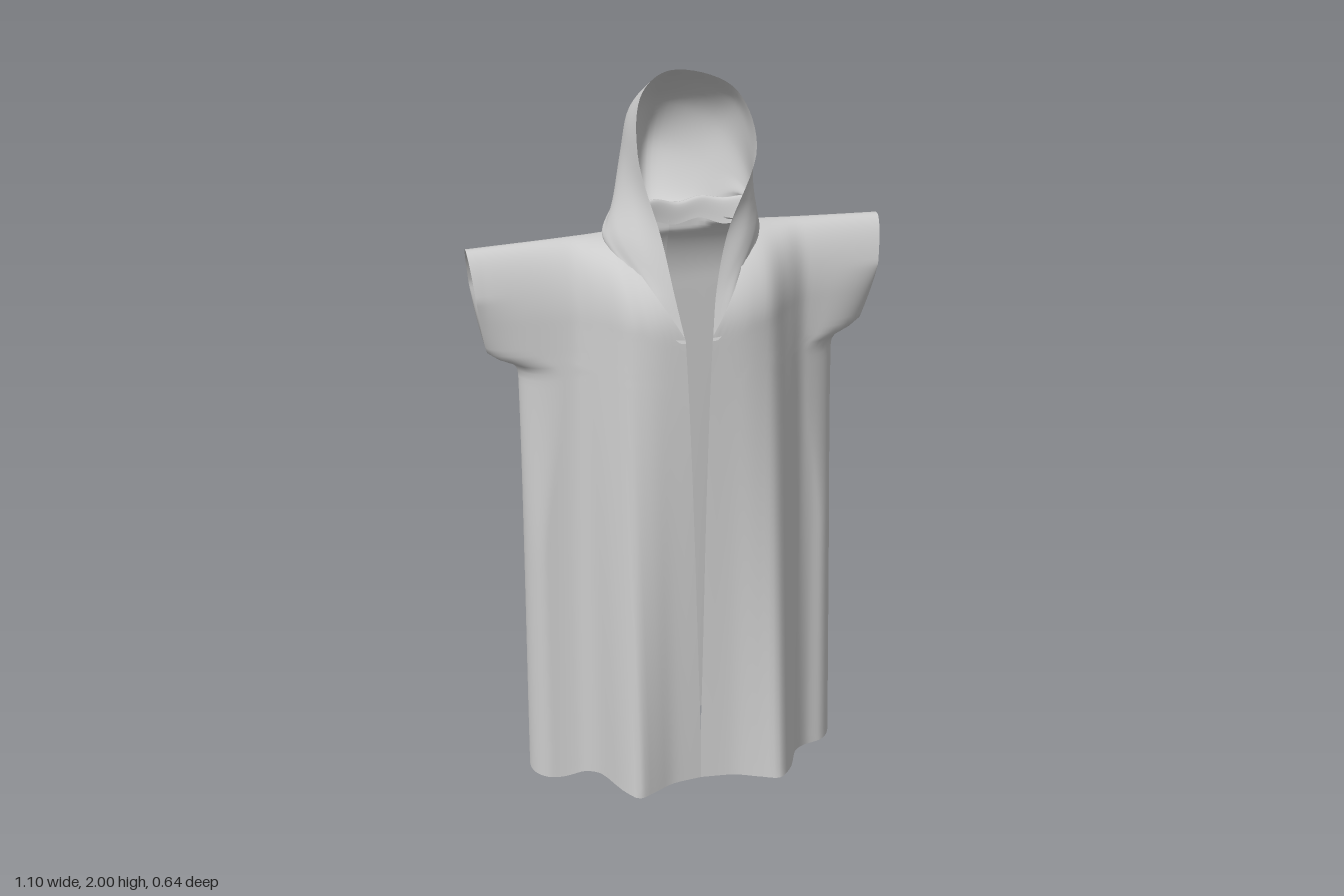
import * as THREE from 'three';

const material = new THREE.MeshStandardMaterial({ color: 0xcccccc, roughness: 0.9, side: THREE.DoubleSide });
const { lerp, smoothstep, clamp } = THREE.MathUtils;

// Smooth curve without overshoot through [position, value] pairs
function profile(pairs, x) {
  const last = pairs.length - 1;
  if (x <= pairs[0][0]) return pairs[0][1];
  if (x >= pairs[last][0]) return pairs[last][1];
  const grade = (i) => (pairs[i + 1][1] - pairs[i][1]) / (pairs[i + 1][0] - pairs[i][0]);
  const slope = (i) => {
    if (i === 0) return grade(0);
    if (i === last) return grade(last - 1);
    const a = grade(i - 1), b = grade(i);
    return a * b > 0 ? (2 * a * b) / (a + b) : 0;
  };
  const i = pairs.findIndex((p) => p[0] > x) - 1;
  const w = pairs[i + 1][0] - pairs[i][0], t = (x - pairs[i][0]) / w;
  const h = t * t * (3 - 2 * t);
  return lerp(pairs[i][1], pairs[i + 1][1], h)
    + w * t * (1 - t) * ((1 - t) * slope(i) - t * slope(i + 1));
}

// Smooth cloth sheet from a function of two parameters in 0..1
function sheet(name, cols, rows, at) {
  const positions = [], index = [];
  for (let j = 0; j <= rows; j++) {
    for (let i = 0; i <= cols; i++) {
      const p = at(i / cols, j / rows);
      // slight lean, so the cloth does not hang perfectly even
      positions.push(p.x + 0.015 * (1 - p.y / 1.6), p.y + 0.02 * p.x, p.z);
      if (i < cols && j < rows) {
        const a = j * (cols + 1) + i, b = a + cols + 1;
        index.push(a, a + 1, b, a + 1, b + 1, b);
      }
    }
  }
  const geometry = new THREE.BufferGeometry();
  geometry.setAttribute('position', new THREE.Float32BufferAttribute(positions, 3));
  geometry.setIndex(index);
  geometry.computeVertexNormals();
  const mesh = new THREE.Mesh(geometry, material);
  mesh.name = name;
  return mesh;
}

// Depth of the folds across the half width, at the hem and at the chest
const frontHem = [[0, 0.258], [0.08, 0.268], [0.15, 0.3], [0.2, 0.322], [0.24, 0.275], [0.29, 0.15], [0.34, 0.1], [0.45, 0.075]];
const frontChest = [[0.03, 0.262], [0.1, 0.257], [0.18, 0.23], [0.25, 0.15], [0.31, 0.095], [0.43, 0.075], [0.55, 0.068]];
const backHem = [[0, 0.168], [0.08, 0.18], [0.17, 0.197], [0.23, 0.16], [0.28, 0.12], [0.34, 0.09], [0.42, 0.07]];
const backChest = [[0, 0.125], [0.1, 0.135], [0.17, 0.14], [0.28, 0.105], [0.43, 0.09], [0.55, 0.092]];

// Outline of side seam and short sleeve, and the edge of the front opening
const outerEdge = [[0, 0.447], [1.24, 0.43], [1.265, 0.438], [1.305, 0.51], [1.6, 0.553]];
const openingEdge = [[0.22, 0], [1.38, 0.035], [1.61, 0.07]];

// One half of the front or back; side is +1 for left, -1 for right
function panel(name, side, front) {
  return sheet(name, 44, 80, (s, t) => {
    const u = Math.sin(s * Math.PI / 2), v = Math.sin(t * Math.PI / 2);
    // the front is cut away along the neckline; the shoulder slopes a little
    const shoulder = 1.61 - 0.018 * u;
    const top = front ? lerp(1.39, shoulder, Math.min(1, u / 0.21)) : shoulder;
    const hem = front ? lerp(0.06, 0.01, smoothstep(u, 0.5, 0.85)) : 0.01;
    const y = lerp(hem, top, v);
    const x = lerp(front ? profile(openingEdge, y) : 0, profile(outerEdge, y), u);
    // folds lie a little further out on the left
    const fold = x * (1 - (front ? 0.07 : 0.15) * side);
    const high = Math.min(1, y / 1.4);
    let z = lerp(profile(front ? frontHem : backHem, fold), profile(front ? frontChest : backChest, fold), high);
    // round over the shoulder, leaving the back of the neck open
    const k = clamp((y - 1.4) / (shoulder - 1.4), 0, 1);
    let roll = Math.sqrt(1 - k * k);
    if (!front) roll = Math.max(roll, 0.6 * (1 - smoothstep(x, 0.08, 0.2)));
    // close the side seam, opening into the teardrop sleeve hole
    const start = lerp(0.88, 0.72, smoothstep(y, 0.7, 1.3));
    const c = Math.max(0, (u - start) / (1 - start));
    const seam = lerp(Math.sqrt(1 - c * c), 1, clamp((y - 1.3) / 0.17, 0, 1));
    z *= roll * seam;
    return new THREE.Vector3(side * x, y, front ? z : -z);
  });
}

// Half sections of the hood from rim to neckline:
// lapel foot, lower lapel, lapel, cheek, crown, centre
const hoodHalf = [
  [[0.035, 1.38, 0.264], [0.055, 1.5, 0.222], [0.085, 1.63, 0.172], [0.155, 1.83, 0.09], [0.118, 1.96, -0.02], [0.03, 2.0, -0.07]],
  [[0.045, 1.38, 0.264], [0.08, 1.5, 0.218], [0.145, 1.63, 0.14], [0.165, 1.79, 0.01], [0.135, 1.9, -0.11], [0.03, 1.945, -0.17]],
  [[0.055, 1.385, 0.262], [0.1, 1.5, 0.214], [0.18, 1.63, 0.1], [0.175, 1.73, -0.04], [0.12, 1.82, -0.19], [0.03, 1.865, -0.27]],
  [[0.06, 1.39, 0.26], [0.11, 1.5, 0.21], [0.197, 1.62, 0.07], [0.172, 1.69, -0.05], [0.1, 1.71, -0.22], [0.03, 1.74, -0.325]],
  [[0.065, 1.39, 0.258], [0.12, 1.5, 0.207], [0.205, 1.615, 0.05], [0.165, 1.665, -0.05], [0.09, 1.605, -0.19], [0.02, 1.6, -0.27]],
  [[0.068, 1.39, 0.256], [0.125, 1.5, 0.204], [0.208, 1.61, 0.035], [0.175, 1.65, -0.045], [0.1, 1.6, -0.13], [0.01, 1.565, -0.18]],
  [[0.07, 1.39, 0.254], [0.13, 1.5, 0.2], [0.205, 1.605, 0.02], [0.175, 1.66, -0.02], [0.09, 1.655, -0.065], [0, 1.65, -0.08]],
  [[0.07, 1.385, 0.25], [0.13, 1.49, 0.19], [0.2, 1.59, 0.015], [0.165, 1.59, -0.02], [0.09, 1.595, -0.06], [0, 1.59, -0.075]],
];

function hood() {
  const sections = hoodHalf.map((half) => {
    const point = ([x, y, z], side) => new THREE.Vector3(side * x + 0.04 * smoothstep(y, 1.52, 1.85), y, z);
    const right = half.map((p) => point(p, -1));
    const left = half.slice(0, -1).reverse().map((p) => point(p, 1));
    return new THREE.CatmullRomCurve3([...right, ...left]);
  });
  const cols = 80;
  const lines = Array.from({ length: cols + 1 }, (_, i) =>
    new THREE.CatmullRomCurve3(sections.map((c) => c.getPoint(i / cols))));
  return sheet('hood', cols, 56, (s, t) => {
    const p = lines[Math.round(s * cols)].getPoint(t);
    // soft gathers near the neck
    const gather = smoothstep(t, 0.55, 0.75) * smoothstep(Math.min(s, 1 - s), 0.2, 0.3);
    p.y += 0.006 * gather * Math.sin(s * 46);
    return p;
  });
}

export function createModel() {
  const group = new THREE.Group();
  group.name = 'hoodedRobe';
  for (const [label, side] of [['left', 1], ['right', -1]]) {
    group.add(panel(label + 'FrontPanel', side, true), panel(label + 'BackPanel', side, false));
  }
  group.add(hood());
  return group;
}
